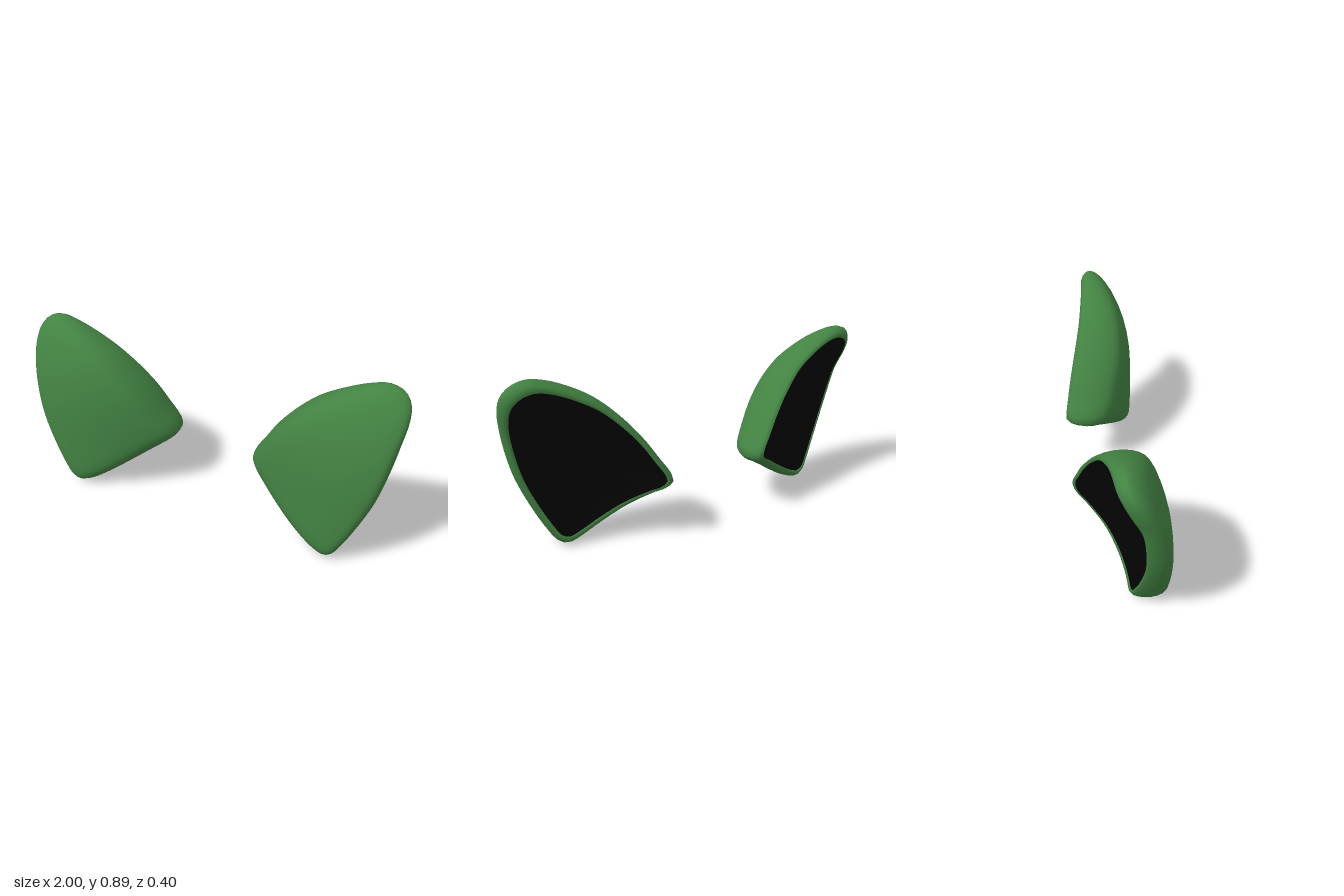
import * as THREE from 'three';
import { mergeVertices } from 'three/addons/utils/BufferGeometryUtils.js';

const SEGMENTS = 88;
const CENTRE = new THREE.Vector2(0.72, 0.45);
const RIM = 0.88;      // scale at which the back panel meets the shell
const RIM_MIX = 0.05;  // how far the rim sits in from the back edge

// Outline of one pad: x, y and the depth of its back edge
const outline = new THREE.CatmullRomCurve3([
  [0.228, 0.315, -0.205], [0.243, 0.36, -0.202], [0.285, 0.425, -0.19], [0.355, 0.535, -0.168],
  [0.445, 0.645, -0.14], [0.56, 0.752, -0.11], [0.69, 0.83, -0.09], [0.795, 0.876, -0.078],
  [0.88, 0.895, -0.072], [0.95, 0.876, -0.062], [0.99, 0.83, -0.038], [1.0, 0.76, -0.005],
  [0.985, 0.65, 0.04], [0.96, 0.52, 0.06], [0.92, 0.37, 0.068], [0.85, 0.2, 0.055],
  [0.79, 0.08, 0.037], [0.75, 0.018, 0.025], [0.71, 0, 0.022], [0.65, 0.02, 0.018],
  [0.55, 0.08, -0.004], [0.42, 0.17, -0.06], [0.31, 0.245, -0.14], [0.25, 0.285, -0.192],
].map((p) => new THREE.Vector3(...p)), true).getSpacedPoints(SEGMENTS).slice(0, SEGMENTS);

// Front surface, domed across and falling away to the top, and the hollow behind it
const frontDepth = (x, y) => 0.2 - 0.7 * (x - 0.76) ** 2 - 0.6 * Math.max(0, y - 0.25) ** 3;
const backDepth = (x, y) => 0.07 - 0.75 * (x - 0.88) ** 2 - 0.45 * (y - 0.3) ** 2;

// Shell rings from the back rim round the edge to the middle of the front:
// scale about the centre, blend from back edge to front dome
const shellRings = [
  [RIM, RIM_MIX], [0.91, 0], [0.95, 0.07], [0.982, 0.22], [1, 0.42], [1, 0.58], [0.988, 0.73],
  [0.96, 0.86], [0.92, 0.94], [0.86, 0.98], [0.76, 1], [0.6, 1], [0.45, 1], [0.3, 1],
  [0.15, 1], [0, 1],
];
const panelRings = [0, 0.2, 0.4, 0.6, 0.75, RIM];

// Joins closed rings of points into a smooth skin; side -1 mirrors it
function loft(rings, side) {
  const positions = rings.flat().flatMap((p) => [p.x * side, p.y, p.z]);
  const index = [];
  const tri = (a, b, c) => index.push(...(side > 0 ? [a, b, c] : [a, c, b]));
  for (let i = 0; i < rings.length - 1; i++) {
    for (let j = 0; j < SEGMENTS; j++) {
      const a = i * SEGMENTS + j, b = i * SEGMENTS + (j + 1) % SEGMENTS;
      tri(a, a + SEGMENTS, b);
      tri(b, a + SEGMENTS, b + SEGMENTS);
    }
  }
  const geometry = new THREE.BufferGeometry();
  geometry.setAttribute('position', new THREE.Float32BufferAttribute(positions, 3));
  geometry.setIndex(index);
  const merged = mergeVertices(geometry, 1e-5);
  merged.computeVertexNormals();
  return merged;
}

// Shell ring: the outline scaled about the centre, set between back and front
function shellRing(scale, mix) {
  return outline.map((p) => {
    const x = THREE.MathUtils.lerp(CENTRE.x, p.x, scale);
    const y = THREE.MathUtils.lerp(CENTRE.y, p.y, scale);
    return new THREE.Vector3(x, y, THREE.MathUtils.lerp(p.z, frontDepth(x, y), mix));
  });
}

// Panel ring: follows the hollow and eases to meet the shell's rim exactly
function panelRing(scale) {
  const t = scale / RIM;
  return shellRing(RIM, RIM_MIX).map((rim) => {
    const x = THREE.MathUtils.lerp(CENTRE.x, rim.x, t);
    const y = THREE.MathUtils.lerp(CENTRE.y, rim.y, t);
    return new THREE.Vector3(x, y, backDepth(x, y) + (rim.z - backDepth(rim.x, rim.y)) * t * t);
  });
}

function createPad(side, name) {
  const pad = new THREE.Group();
  pad.name = name;

  // Rounded green shell
  const shell = new THREE.Mesh(
    loft(shellRings.map(([scale, mix]) => shellRing(scale, mix)), side),
    new THREE.MeshStandardMaterial({ color: 0x438343 }),
  );
  shell.name = 'shell';

  // Dark hollow back panel
  const panel = new THREE.Mesh(
    loft(panelRings.map(panelRing), side),
    new THREE.MeshStandardMaterial({ color: 0x040404 }),
  );
  panel.name = 'backPanel';

  pad.add(shell, panel);
  return pad;
}

export function createModel() {
  const model = new THREE.Group();
  model.name = 'padPair';
  model.add(createPad(1, 'leftPad'), createPad(-1, 'rightPad'));
  return model;
}
